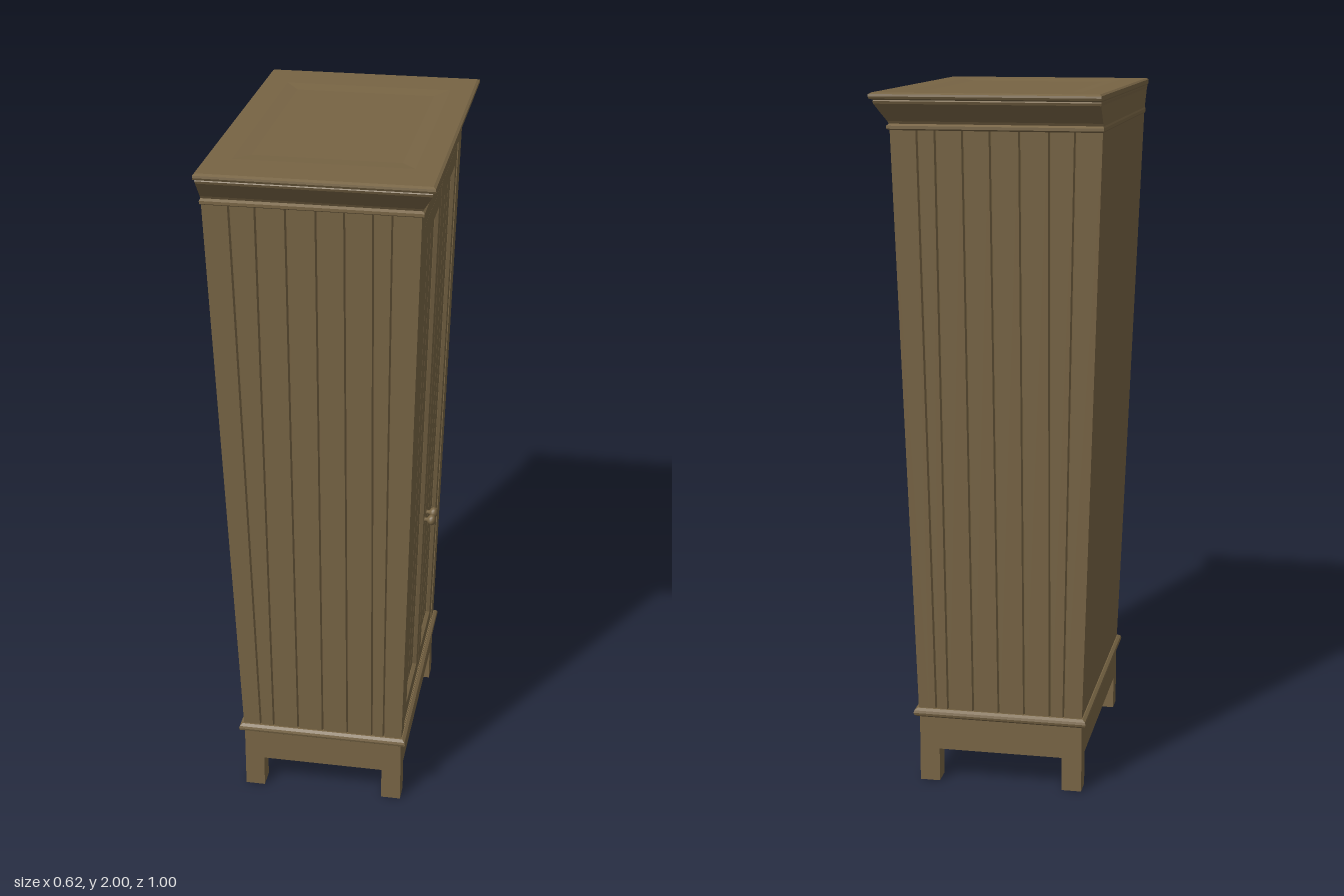
import * as THREE from 'three';

const Y0 = 0.22, Y1 = 1.91;
const wood = new THREE.MeshStandardMaterial({ color: 0x776444 });
const frontX = y => THREE.MathUtils.lerp(0.228, 0.27, (y - Y0) / (Y1 - Y0));

function add(parent, name, geometry, x = 0, y = 0, z = 0) {
  const mesh = new THREE.Mesh(geometry, wood);
  mesh.name = name;
  mesh.position.set(x, y, z);
  parent.add(mesh);
  return mesh;
}

// Skins a stack of equal loops of [x, y, z] points with flat faces, closing both ends
function loft(loops) {
  const pos = [];
  const tri = (a, b, c) => pos.push(...a, ...b, ...c);
  const n = loops[0].length;
  for (let i = 0; i < loops.length - 1; i++) {
    for (let j = 0; j < n; j++) {
      const k = (j + 1) % n, lo = loops[i], hi = loops[i + 1];
      tri(lo[j], lo[k], hi[k]);
      tri(lo[j], hi[k], hi[j]);
    }
  }
  const first = loops[0], last = loops[loops.length - 1];
  for (let j = 1; j < n - 1; j++) {
    tri(last[0], last[j], last[j + 1]);
    tri(first[0], first[j + 1], first[j]);
  }
  const g = new THREE.BufferGeometry();
  g.setAttribute('position', new THREE.Float32BufferAttribute(pos, 3));
  g.computeVertexNormals();
  return g;
}

// Rectangular loop: back x, front x, half width in z, height
const ring = ([xb, xf, hz, y]) => [[xb, y, hz], [xf, y, hz], [xf, y, -hz], [xb, y, -hz]];

// Horizontal outline of the case with V grooves between the side boards
function caseLoop(y, xb, xf, hz, grooves) {
  const side = [[xb, hz]];
  for (const g of grooves) side.push([g - 0.004, hz], [g, hz - 0.007], [g + 0.004, hz]);
  side.push([xf, hz]);
  const other = side.map(([x, z]) => [x, -z]).reverse();
  return [...side, ...other].map(([x, z]) => [x, y, z]);
}

// Tapered four-sided loop on the leaning front, at a depth and shrunk by an inset;
// the outline is [bottom y, edges at the bottom, top y, edges at the top]
function taper(side, [yb, b0, b1, yt, t0, t1], depth, inset = 0) {
  const lo = yb + inset, hi = yt - inset;
  const loop = [[b0 + inset, lo], [b1 - inset, lo], [t1 - inset, hi], [t0 + inset, hi]]
    .map(([u, y]) => [frontX(y) + depth, y, -side * u]);
  return side > 0 ? loop : loop.reverse();
}

export function createModel() {
  const model = new THREE.Group();
  model.name = 'wardrobe';

  // Base: four legs joined by aprons, with a floor above
  const base = new THREE.Group();
  base.name = 'base';
  model.add(base);
  const xb = -0.252, xf = 0.226, hz = 0.36, leg = 0.058, mid = (xb + xf) / 2;
  for (const s of [-1, 1]) {
    for (const x of [xb + leg / 2, xf - leg / 2])
      add(base, 'leg', new THREE.BoxGeometry(leg, 0.205, leg), x, 0.1025, s * (hz - leg / 2));
    add(base, 'sideApron', new THREE.BoxGeometry(xf - xb - 2 * leg, 0.105, 0.04),
      mid, 0.1525, s * (hz - 0.02));
    add(base, s > 0 ? 'frontApron' : 'backApron', new THREE.BoxGeometry(0.04, 0.105, 2 * (hz - leg)),
      s > 0 ? xf - 0.02 : xb + 0.02, 0.1525, 0);
  }
  add(base, 'floor', new THREE.BoxGeometry(xf - xb - 0.06, 0.07, 2 * hz - 0.06), mid, 0.16, 0);
  add(base, 'baseMoulding', loft([
    [-0.256, 0.231, 0.368, 0.2], [-0.264, 0.239, 0.376, 0.206], [-0.266, 0.241, 0.378, 0.213],
    [-0.264, 0.239, 0.376, 0.22], [-0.256, 0.231, 0.368, 0.226]
  ].map(ring)));

  // Case that widens upward, boarded on both sides and plain at the back
  const gap = 0.03;
  add(model, 'case', loft([
    caseLoop(Y0, -0.253, frontX(Y0) - gap, 0.363, [-0.2, -0.16, -0.085, -0.01, 0.065, 0.14, 0.175]),
    caseLoop(Y1, -0.308, frontX(Y1) - gap, 0.437, [-0.235, -0.165, -0.085, -0.005, 0.07, 0.145, 0.195])
  ]));

  // Face frame around the door opening
  const frameEdge = [Y0, -0.363, 0.363, Y1, -0.437, 0.437];
  const opening = [0.231, -0.309, 0.309, 1.849, -0.364, 0.364];
  add(model, 'faceFrame', loft([
    taper(1, frameEdge, -gap), taper(1, frameEdge, 0), taper(1, opening, 0), taper(1, opening, -0.026)
  ]));

  // Pair of doors with boarded panels and round knobs
  const doorEdge = [0.235, 0.002, 0.305, 1.845, 0.002, 0.36];
  const panelEdge = [0.285, 0.048, 0.26, 1.79, 0.048, 0.32];
  const knobProfile = [[0.009, 0], [0.006, 0.004], [0.006, 0.01], [0.013, 0.015],
    [0.017, 0.022], [0.015, 0.029], [0.008, 0.034], [0, 0.035]].map(p => new THREE.Vector2(...p));
  for (const s of [-1, 1]) {
    const door = new THREE.Group();
    door.name = s < 0 ? 'leftDoor' : 'rightDoor';
    model.add(door);
    add(door, 'doorFrame', loft([
      taper(s, doorEdge, -gap), taper(s, doorEdge, -0.005), taper(s, doorEdge, -0.002, 0.003),
      taper(s, panelEdge, -0.002), taper(s, panelEdge, -0.012, 0.006), taper(s, panelEdge, -0.02, 0.006)
    ]));
    for (let i = 0; i < 4; i++) {
      const b = 0.054 + 0.05 * i, t = 0.054 + 0.065 * i;
      const board = [0.291, b, b + 0.05, 1.784, t, t + 0.065];
      add(door, 'panelBoard', loft([
        taper(s, board, -0.024), taper(s, board, -0.017), taper(s, board, -0.013, 0.003)
      ]));
    }
    const knob = add(door, 'knob', new THREE.LatheGeometry(knobProfile, 16),
      frontX(0.79) - 0.003, 0.79, s * 0.023);
    knob.rotation.z = -Math.PI / 2;
  }

  // Cornice flaring over the front and sides, flush at the back, with a shallow sunk top
  add(model, 'cornice', loft([
    [-0.309, 0.27, 0.437, 1.898], [-0.311, 0.277, 0.444, 1.902], [-0.311, 0.277, 0.444, 1.91],
    [-0.309, 0.272, 0.436, 1.915], [-0.309, 0.275, 0.44, 1.922], [-0.309, 0.288, 0.461, 1.945],
    [-0.309, 0.301, 0.483, 1.97], [-0.31, 0.303, 0.486, 1.977], [-0.31, 0.301, 0.483, 1.98],
    [-0.312, 0.31, 0.497, 1.984], [-0.312, 0.312, 0.5, 1.99], [-0.312, 0.311, 0.499, 1.996],
    [-0.306, 0.304, 0.49, 2], [-0.24, 0.24, 0.36, 2], [-0.2, 0.2, 0.307, 1.996]
  ].map(ring)));

  return model;
}
